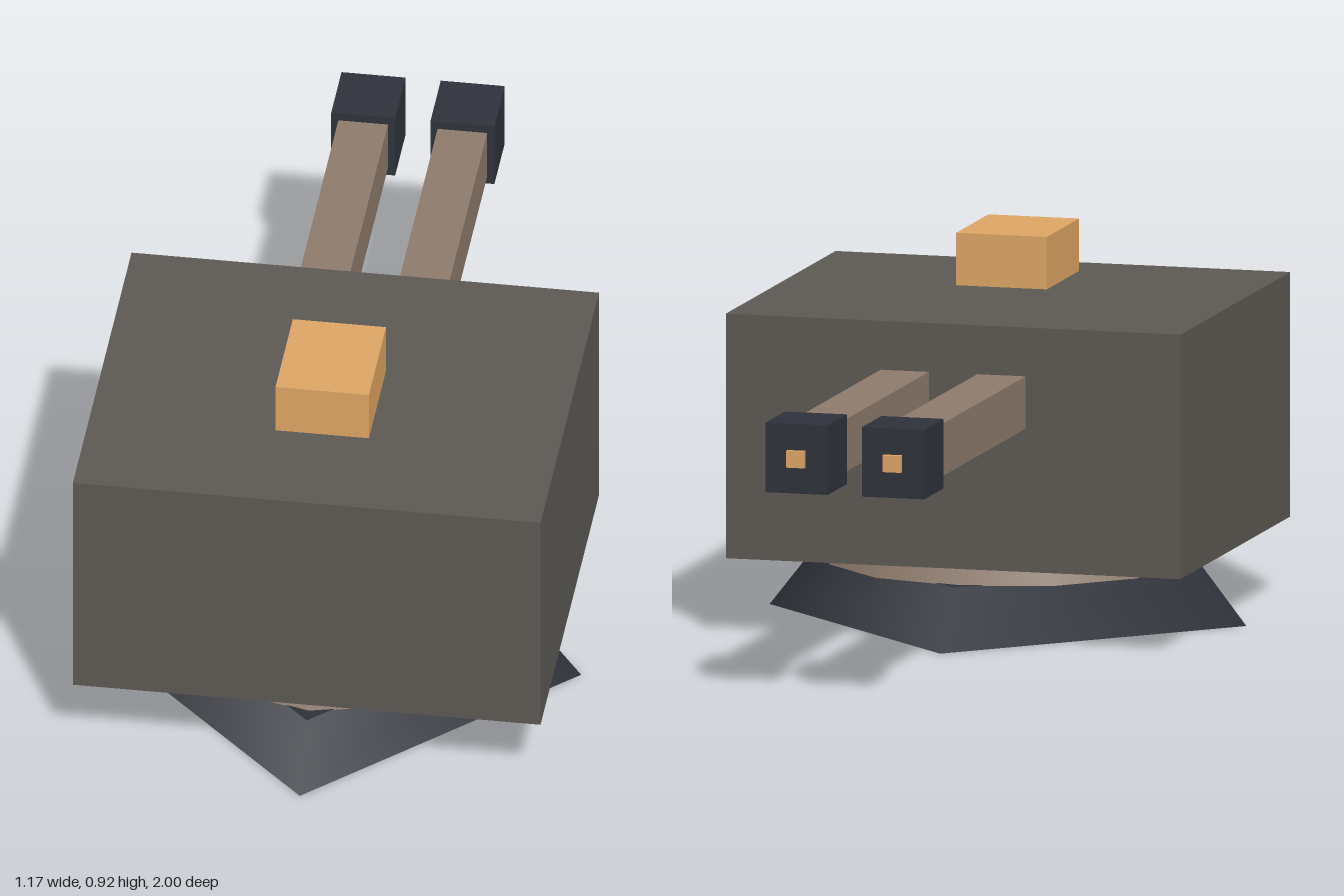
import * as THREE from 'three';

const mat = (color) => new THREE.MeshStandardMaterial({ color });

export function createModel() {
  const model = new THREE.Group();
  model.name = 'gunTurret';

  const dark = mat(0x2f323b);
  const brown = mat(0x8d7a6c);
  const grey = mat(0x5c5953);
  const orange = mat(0xdca463);

  const add = (name, geometry, material, x, y, z) => {
    const mesh = new THREE.Mesh(geometry, material);
    mesh.name = name;
    mesh.position.set(x, y, z);
    model.add(mesh);
  };
  // Box given by its size and its centre
  const box = (name, material, [w, h, d], [x, y, z]) =>
    add(name, new THREE.BoxGeometry(w, h, d), material, x, y, z);

  const axisZ = 0.416; // the turret turns about this line

  // Four-sided tapered foot with its corners on the axes, and the turning ring
  add('base', new THREE.CylinderGeometry(0.473, 0.583, 0.14, 4), dark, 0, 0.07, axisZ);
  add('turningRing', new THREE.CylinderGeometry(0.396, 0.433, 0.083, 12), brown, 0, 0.1795, axisZ);

  // Turret housing and the hatch hovering just above it
  box('housing', grey, [1.112, 0.583, 0.944], [0, 0.4765, axisZ]);
  box('hatch', orange, [0.222, 0.125, 0.278], [0, 0.8525, 0.499]);

  // Twin guns pointing to the back
  for (const [side, s] of [['left', 1], ['right', -1]]) {
    const x = s * 0.118;
    box(side + 'Barrel', brown, [0.118, 0.125, 0.80], [x, 0.589, -0.43]);
    box(side + 'Muzzle', dark, [0.152, 0.166, 0.166], [x, 0.589, -0.903]);
    box(side + 'MuzzleTip', orange, [0.044, 0.04, 0.04], [x, 0.589, -0.98]);
  }

  return model;
}
